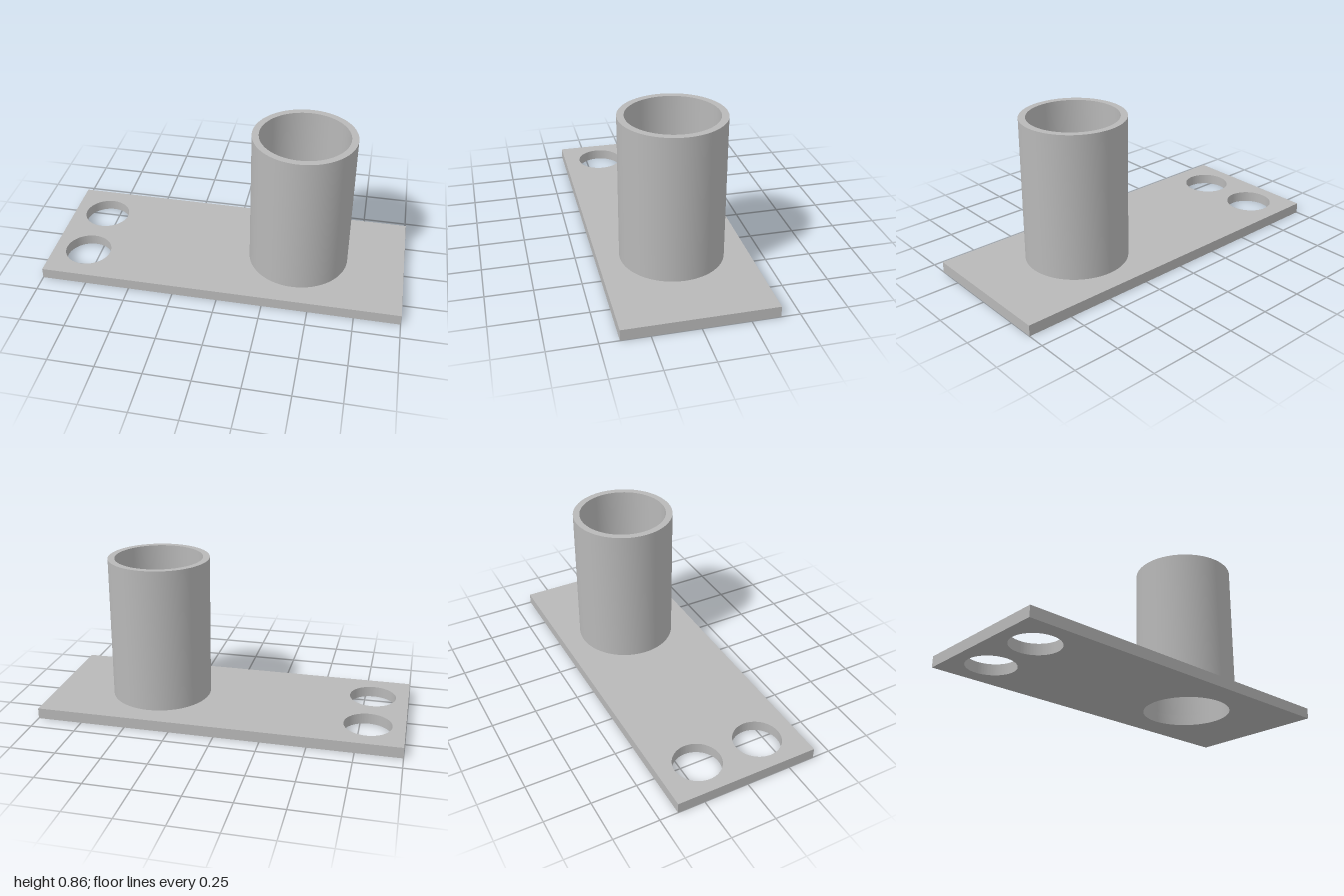
import * as THREE from 'three';
import { toCreasedNormals } from 'three/addons/utils/BufferGeometryUtils.js';

const PLATE_HEIGHT = 0.06, TUBE_TOP = 0.86;
const TUBE_X = 0.4, OUTER_RADIUS = 0.28, BORE_RADIUS = 0.243;

function circle(x, z, radius, type = THREE.Path) {
  const path = new type();
  path.absarc(x, z, radius, 0, Math.PI * 2, false);
  return path;
}

// Extrudes a ground-plan shape upwards, with smooth round walls and sharp edges
function extrudeUp(shape, height) {
  const geometry = new THREE.ExtrudeGeometry(shape, { depth: height, bevelEnabled: false, curveSegments: 64 });
  geometry.rotateX(-Math.PI / 2);
  return toCreasedNormals(geometry, Math.PI / 6);
}

export function createModel() {
  const model = new THREE.Group();
  const metal = new THREE.MeshStandardMaterial({ color: 0xb8b8b8 });
  metal.name = 'greyMetal';

  // Base plate with two bolt holes and the bore opening
  const plan = new THREE.Shape([
    new THREE.Vector2(-1, -0.4), new THREE.Vector2(1, -0.4),
    new THREE.Vector2(1, 0.4), new THREE.Vector2(-1, 0.4),
  ]);
  for (const side of [-1, 1]) plan.holes.push(circle(-0.8, side * 0.18, 0.13));
  plan.holes.push(circle(TUBE_X, 0, BORE_RADIUS));
  const plate = new THREE.Mesh(extrudeUp(plan, PLATE_HEIGHT), metal);
  plate.name = 'basePlate';
  model.add(plate);

  // Hollow upright tube, open through the plate
  const ring = circle(0, 0, OUTER_RADIUS, THREE.Shape);
  ring.holes.push(circle(0, 0, BORE_RADIUS));
  const tube = new THREE.Mesh(extrudeUp(ring, TUBE_TOP - PLATE_HEIGHT), metal);
  tube.name = 'uprightTube';
  tube.position.set(TUBE_X, PLATE_HEIGHT, 0);
  model.add(tube);

  return model;
}
